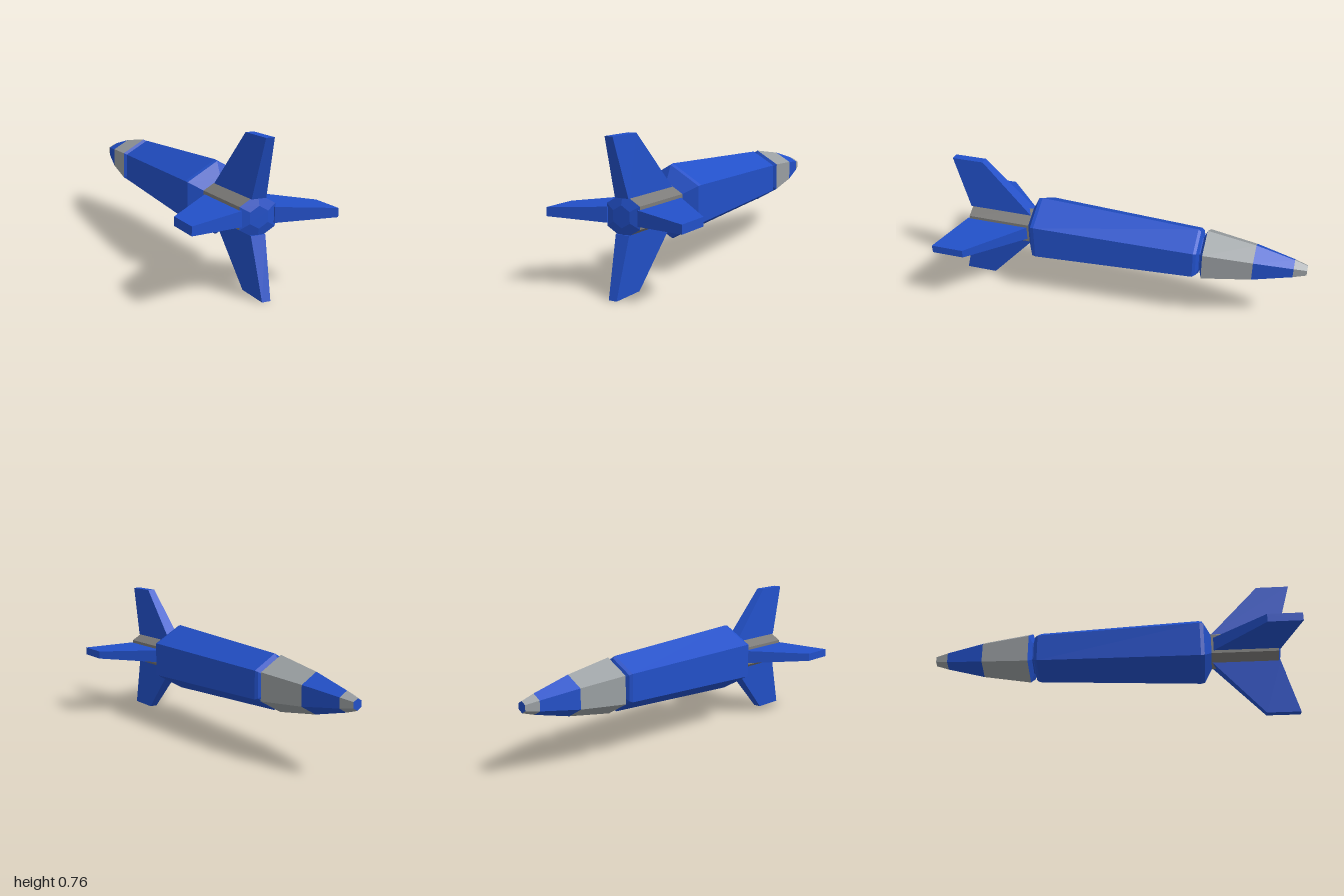
import * as THREE from 'three';

const blue = new THREE.MeshStandardMaterial({ color: 0x2250c8, flatShading: true });
const paleGrey = new THREE.MeshStandardMaterial({ color: 0x9a9fa2, flatShading: true });
const darkGrey = new THREE.MeshStandardMaterial({ color: 0x7c7b79, flatShading: true });

// Six-sided section along z, from [z, corner radius] pairs in order of rising z
function hexSection(name, profile, material) {
  const points = profile.map(([z, r]) => new THREE.Vector2(r, z));
  const geometry = new THREE.LatheGeometry(points, 6).rotateX(Math.PI / 2);
  const mesh = new THREE.Mesh(geometry, material);
  mesh.name = name;
  return mesh;
}

// Swept fin pointing up: a box whose ends are moved to the root and tip outlines
function finGeometry() {
  const root = { y: 0.086, half: 0.038, front: 0.55, back: 0.915 };
  const tip = { y: 0.378, half: 0.022, front: 0.82, back: 1 };
  const geometry = new THREE.BoxGeometry(1, 1, 1);
  const p = geometry.attributes.position;
  for (let i = 0; i < p.count; i++) {
    const end = p.getY(i) > 0 ? tip : root;
    p.setXYZ(i, Math.sign(p.getX(i)) * end.half, end.y, p.getZ(i) > 0 ? end.back : end.front);
  }
  geometry.computeVertexNormals();
  return geometry;
}

export function createModel() {
  const model = new THREE.Group();
  model.name = 'rocket';
  const rocket = new THREE.Group();
  rocket.name = 'rocketBody';
  rocket.position.y = 0.378;
  model.add(rocket);

  // Nose, from tip to neck
  rocket.add(
    hexSection('noseCap', [[-1, 0], [-1, 0.03]], blue),
    hexSection('noseTip', [[-1, 0.03], [-0.93, 0.053]], paleGrey),
    hexSection('noseBand', [[-0.93, 0.053], [-0.72, 0.107]], blue),
    hexSection('noseBase', [[-0.72, 0.107], [-0.455, 0.15]], paleGrey),
    hexSection('neck', [[-0.455, 0.15], [-0.438, 0.1], [-0.432, 0.1], [-0.42, 0.138]], blue)
  );

  // Main hull with bevelled ends
  rocket.add(hexSection('hull',
    [[-0.42, 0.138], [-0.405, 0.15], [0.485, 0.192], [0.505, 0.187], [0.545, 0.108]], blue));

  // Engine tube and its closed rear end
  rocket.add(
    hexSection('engineTube', [[0.545, 0.108], [0.905, 0.108]], darkGrey),
    hexSection('engineCap', [[0.905, 0.108], [0.92, 0.054], [0.92, 0]], blue)
  );

  // Four fins around the engine tube
  const geometry = finGeometry();
  ['topFin', 'rightFin', 'bottomFin', 'leftFin'].forEach((name, i) => {
    const fin = new THREE.Mesh(geometry, blue);
    fin.name = name;
    fin.rotation.z = i * Math.PI / 2;
    rocket.add(fin);
  });

  return model;
}
